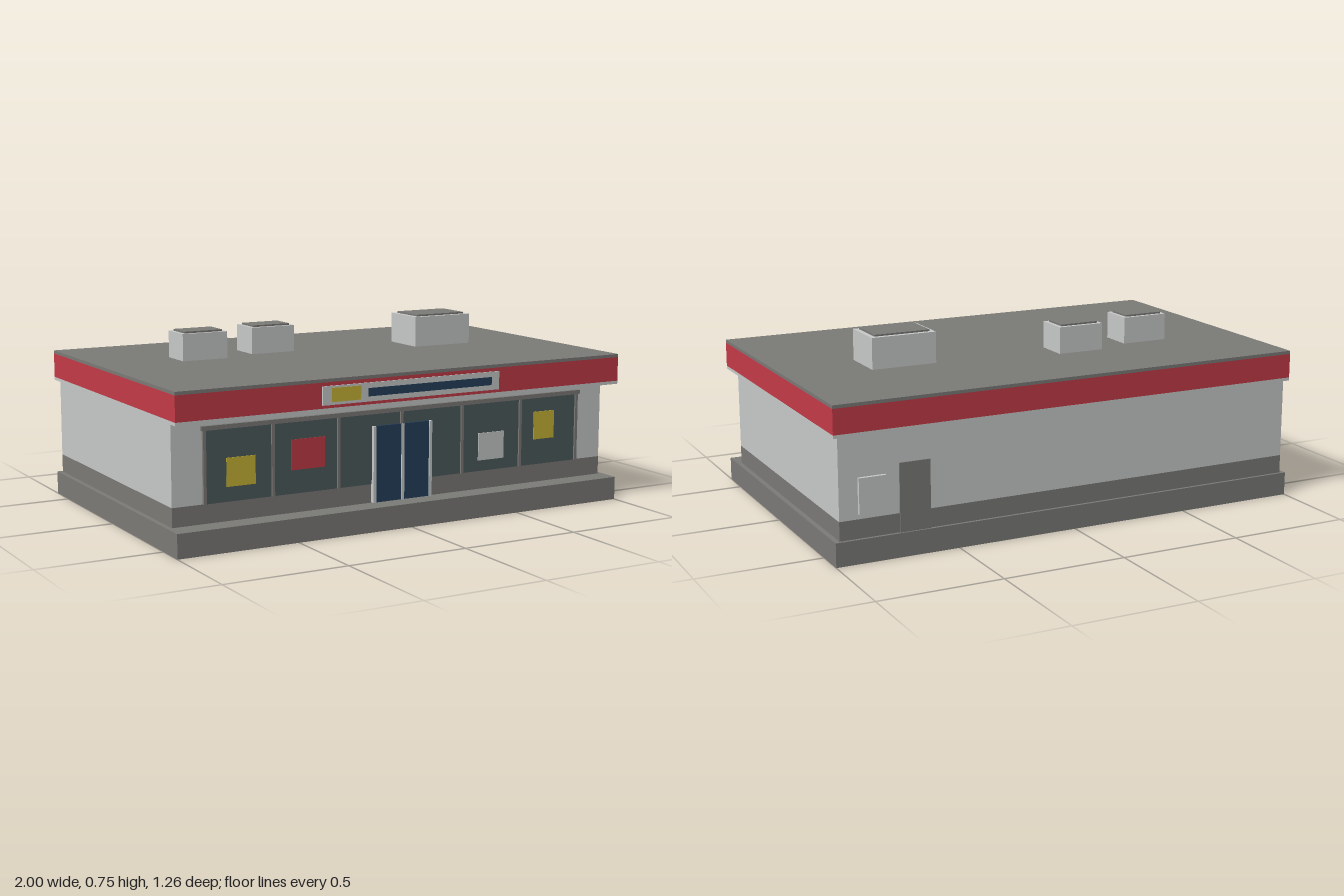
import * as THREE from 'three';

const paint = (name, color, side = THREE.FrontSide) => {
  const m = new THREE.MeshStandardMaterial({ color, side });
  m.name = name;
  return m;
};

export function createModel() {
  const model = new THREE.Group();
  model.name = 'shop';
  const grey = paint('concrete grey', 0x7b7a77, THREE.DoubleSide);
  const white = paint('wall white', 0xc8caca);
  const red = paint('fascia red', 0xc33a46);
  const glass = paint('window glass', 0x4b5b5b);
  const blue = paint('door blue', 0x23405a);
  const yellow = paint('poster yellow', 0xc8b434);

  // Box given by its extents on each axis
  const box = (name, mat, x0, x1, y0, y1, z0, z1) => {
    const geo = new THREE.BoxGeometry(x1 - x0, y1 - y0, z1 - z0);
    geo.translate((x0 + x1) / 2, (y0 + y1) / 2, (z0 + z1) / 2);
    const mesh = new THREE.Mesh(geo, mat);
    mesh.name = name;
    model.add(mesh);
    return mesh;
  };

  // Plinth, open underneath: drop the bottom face
  const plinth = box('plinth', grey, -1, 1, 0, 0.095, -0.625, 0.625);
  const index = Array.from(plinth.geometry.index.array);
  index.splice(18, 6);
  plinth.geometry.setIndex(index);
  plinth.geometry.clearGroups();

  // Walls
  box('wallBase', grey, -0.98, 0.98, 0.095, 0.17, -0.613, 0.535);
  box('walls', white, -0.98, 0.98, 0.17, 0.49, -0.613, 0.535);

  // Roof edge, bottom to top
  box('eaveTrim', white, -1, 1, 0.49, 0.503, -0.625, 0.623);
  box('fascia', red, -1, 1, 0.503, 0.602, -0.625, 0.623);
  box('roof', grey, -1, 1, 0.602, 0.615, -0.625, 0.623);

  // Shop window with evenly spaced mullions
  box('shopWindow', glass, -0.85, 0.85, 0.17, 0.45, 0.53, 0.54);
  box('windowHeader', grey, -0.863, 0.863, 0.448, 0.465, 0.53, 0.55);
  for (let i = -3; i <= 3; i++) {
    const x = i * 0.2833;
    box('mullion', grey, x - 0.006, x + 0.006, i === 0 ? 0.4 : 0.17, 0.45, 0.53, 0.547);
  }

  // Posters on the glass
  const posters = [
    [yellow, -0.76, -0.64, 0.227, 0.337],
    [red, -0.487, -0.343, 0.262, 0.38],
    [white, 0.363, 0.487, 0.214, 0.326],
    [yellow, 0.636, 0.738, 0.275, 0.39],
  ];
  for (const [mat, ...e] of posters) box('poster', mat, ...e, 0.539, 0.543);

  // Double entrance door with pale frame strips
  for (const s of [-1, 1]) {
    const leaf = [s * 0.006, s * 0.122].sort((a, b) => a - b);
    box('doorLeaf', blue, ...leaf, 0.097, 0.4, 0.53, 0.55);
  }
  for (const [x, w] of [[-0.128, 0.012], [0, 0.012], [0.128, 0.012]])
    box('doorFrame', white, x - w / 2, x + w / 2, 0.097, 0.4, 0.53, 0.555);

  // Sign on the fascia
  box('signBoard', white, -0.4, 0.4, 0.515, 0.588, 0.62, 0.628);
  box('signPanel', yellow, -0.365, -0.235, 0.526, 0.58, 0.625, 0.63);
  box('signStripe', blue, -0.203, 0.363, 0.535, 0.567, 0.625, 0.63);

  // Service door and meter box at the back
  box('backDoor', grey, 0.615, 0.74, 0.095, 0.365, -0.618, -0.61);
  box('meterBox', white, 0.795, 0.905, 0.19, 0.33, -0.626, -0.61);

  // Rooftop units: x0, x1, top, z0, z1, inset of the lid
  const units = [
    [-0.66, -0.463, 0.725, -0.2, -0.06, 0.015],
    [-0.325, -0.128, 0.725, -0.253, -0.112, 0.016],
    [0.387, 0.66, 0.742, -0.175, 0.023, 0.019],
  ];
  for (const [x0, x1, top, z0, z1, d] of units) {
    box('roofUnit', white, x0, x1, 0.612, top, z0, z1);
    box('roofUnitLid', grey, x0 + d, x1 - d, top - 0.005, top + 0.007, z0 + d, z1 - d);
  }
  return model;
}
